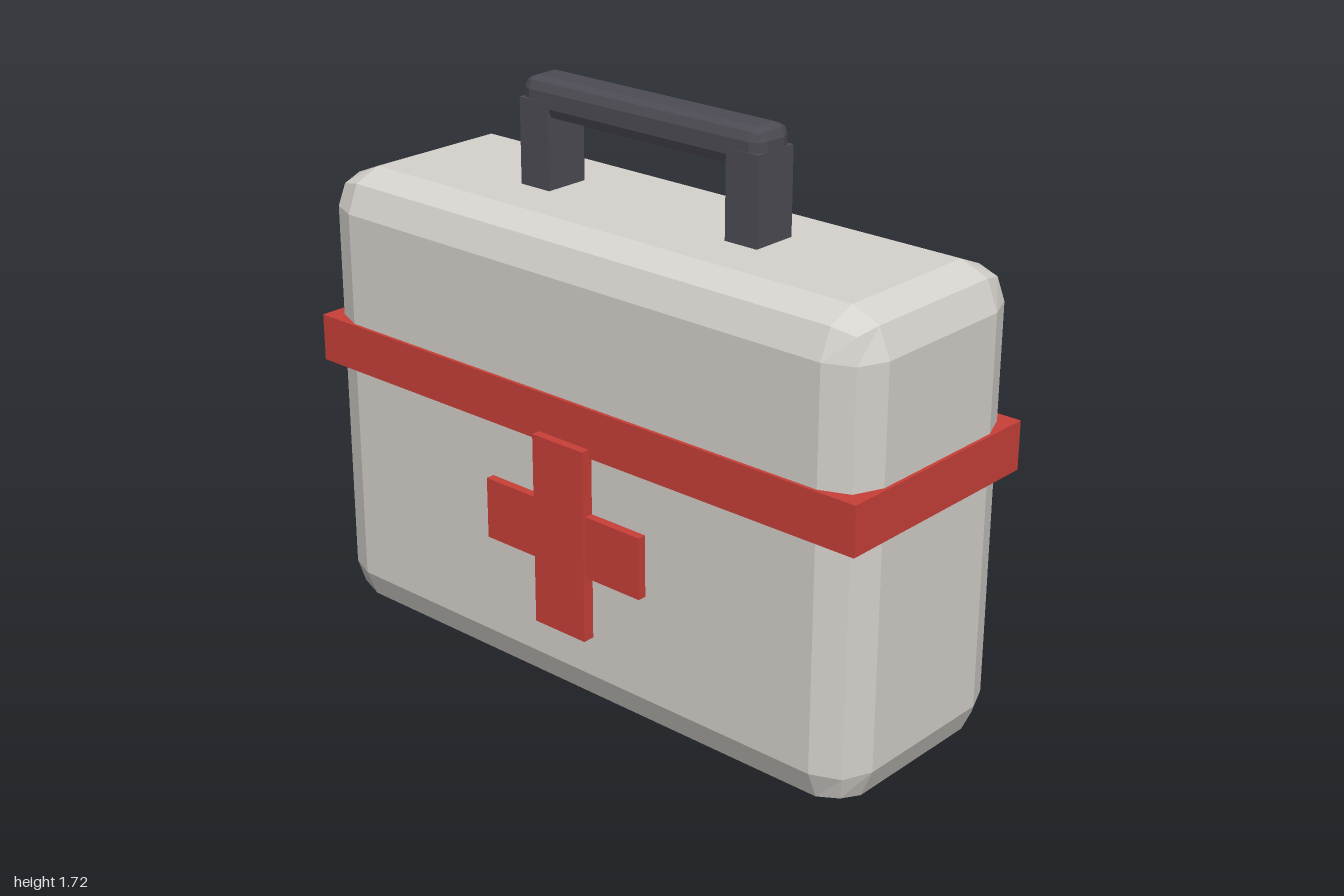
import * as THREE from 'three';
import { RoundedBoxGeometry } from 'three/addons/geometries/RoundedBoxGeometry.js';

function material(name, color) {
  const m = new THREE.MeshStandardMaterial({ color });
  m.name = name;
  m.flatShading = true;
  return m;
}

export function createModel() {
  const group = new THREE.Group();
  group.name = 'firstAidCase';
  const shell = material('warm grey', 0xd6d2cd);
  const red = material('red', 0xc94038);
  const dark = material('charcoal', 0x4d4c54);

  function add(name, geometry, mat, x, y, z) {
    const mesh = new THREE.Mesh(geometry, mat);
    mesh.name = name;
    mesh.position.set(x, y, z);
    group.add(mesh);
  }

  // Case with chamfer-rounded edges, and the band around it
  add('case', new RoundedBoxGeometry(1.98, 1.4, 0.7, 1, 0.12), shell, 0, 0.7, 0);
  add('band', new THREE.BoxGeometry(2, 0.144, 0.72), red, 0, 0.869, 0);

  // Raised cross on the front and the back
  for (const [side, s] of [['front', 1], ['back', -1]]) {
    add(side + 'CrossUpright', new THREE.BoxGeometry(0.19, 0.58, 0.045), red, 0, 0.533, s * 0.364);
    add(side + 'CrossBar', new THREE.BoxGeometry(0.586, 0.186, 0.03), red, 0, 0.533, s * 0.361);
  }

  // Carrying handle: two posts and a rounded grip
  for (const [side, s] of [['left', 1], ['right', -1]]) {
    add(side + 'HandlePost', new THREE.BoxGeometry(0.11, 0.28, 0.144), dark, s * 0.38, 1.515, 0);
  }
  add('handleGrip', new RoundedBoxGeometry(0.868, 0.116, 0.14, 1, 0.035), dark, 0, 1.66, 0);

  return group;
}
